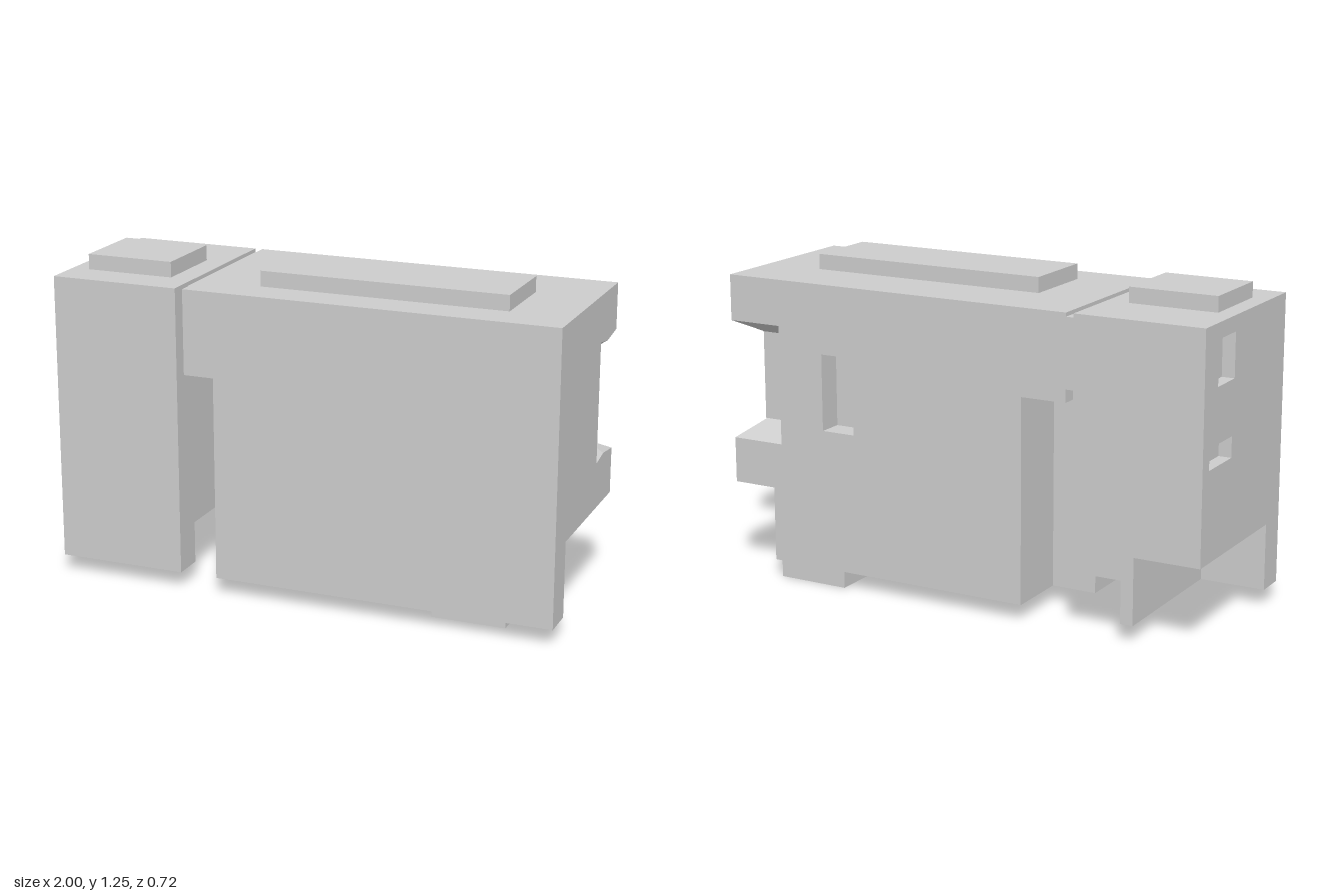
import * as THREE from 'three';

const material = new THREE.MeshStandardMaterial({ color: 0xcccccc, flatShading: true });
const thinMaterial = new THREE.MeshStandardMaterial({ color: 0xcccccc, flatShading: true, side: THREE.DoubleSide });
const BACK = -0.36, FRONT = 0.36;

// Box given by its minimum and maximum corners
function box(name, x0, x1, y0, y1, z0, z1) {
  const mesh = new THREE.Mesh(new THREE.BoxGeometry(x1 - x0, y1 - y0, z1 - z0), material);
  mesh.position.set((x0 + x1) / 2, (y0 + y1) / 2, (z0 + z1) / 2);
  mesh.name = name;
  return mesh;
}

// Block stacked from slabs; plan(y) gives the x,z outline at that height
function stack(name, levels, plan) {
  const group = new THREE.Group();
  group.name = name;
  for (let i = 0; i < levels.length - 1; i++) {
    const [y0, y1] = [levels[i], levels[i + 1]];
    const shape = new THREE.Shape(plan((y0 + y1) / 2).map(([x, z]) => new THREE.Vector2(x, -z)));
    const geo = new THREE.ExtrudeGeometry(shape, { depth: y1 - y0, bevelEnabled: false });
    geo.rotateX(-Math.PI / 2).translate(0, y0, 0);
    const mesh = new THREE.Mesh(geo, material);
    mesh.name = name + 'Slab';
    group.add(mesh);
  }
  return group;
}

// Large block: outline runs front left, front right, back right, back left
function mainPlan(y) {
  const p = [];
  const slotted = y < 0.86;
  if (slotted) p.push([-0.46, 0.1], [-0.34, 0.1], [-0.34, FRONT]);
  else p.push([-0.46, FRONT]);
  p.push([1, FRONT]);
  // right end: low cutout, or the stepped corner grip
  if (y < 0.36) p.push([1, 0.23], [0.82, 0.23], [0.82, BACK]);
  else if (y > 0.54 && y < 1.01) p.push([1, -0.15], [0.93, -0.15], [0.93, -0.24], [0.78, -0.24], [0.78, BACK]);
  else p.push([1, BACK]);
  // small window in the back
  if (y > 0.62 && y < 0.92) p.push([0.585, BACK], [0.585, -0.26], [0.445, -0.26], [0.445, BACK]);
  if (slotted) p.push([-0.28, BACK], [-0.28, -0.105], [-0.46, -0.105]);
  else p.push([-0.46, BACK]);
  return p;
}

// Small block with legs below and two recesses in its outer end
function sidePlan(y) {
  const p = [[-1, FRONT], [-0.49, FRONT]];
  if (y < 0.23) p.push([-0.49, 0.235], [-0.69, 0.235], [-0.69, BACK]);
  else p.push([-0.49, BACK]);
  if (y < 0.324) p.push([-0.74, BACK], [-0.74, 0.24], [-1, 0.24]);
  else p.push([-1, BACK]);
  const recess = (z0, z1) => p.push([-1, z0], [-0.95, z0], [-0.95, z1], [-1, z1]);
  if (y > 0.67 && y < 0.75) recess(-0.305, -0.11);
  if (y > 0.96 && y < 1.13) recess(-0.245, -0.1);
  return p;
}

// Sloping facets at the top of the corner grip; mirrored for the bottom
function gripSlope(mirror) {
  const pts = [
    [1, 1.01, -0.36], [0.78, 1.01, -0.36], [0.78, 0.95, -0.24], [0.93, 0.95, -0.24],
    [0.93, 0.965, -0.15], [1, 1.01, -0.15], [1, 0.995, -0.24],
  ];
  const faces = [0, 1, 2, 0, 2, 3, 0, 3, 6, 6, 3, 4, 6, 4, 5, 0, 6, 5];
  if (mirror) faces.reverse();
  const geo = new THREE.BufferGeometry();
  const flat = pts.flatMap(([x, y, z]) => [x, mirror ? 1.55 - y : y, z]);
  geo.setAttribute('position', new THREE.Float32BufferAttribute(flat, 3));
  geo.setIndex(faces);
  const split = geo.toNonIndexed();
  split.computeVertexNormals();
  const mesh = new THREE.Mesh(split, thinMaterial);
  mesh.name = mirror ? 'gripBottomSlope' : 'gripTopSlope';
  return mesh;
}

export function createModel() {
  const model = new THREE.Group();
  model.name = 'cabinet';
  model.add(
    stack('mainBlock', [0.065, 0.36, 0.54, 0.62, 0.86, 0.92, 1.01, 1.19], mainPlan),
    stack('sideBlock', [0.065, 0.23, 0.324, 0.67, 0.75, 0.96, 1.13, 1.19], sidePlan),
    gripSlope(false),
    gripSlope(true),
    // web joining the two blocks
    box('joiningWeb', -0.49, -0.46, 0.91, 1.175, BACK, 0.25),
    // raised pads and foot
    box('sideTopPad', -0.93, -0.58, 1.19, 1.25, -0.1, 0.21),
    box('mainTopPad', -0.21, 0.76, 1.19, 1.25, -0.1, 0.21),
    box('foot', 0.5, 0.79, 0, 0.065, BACK, 0.26),
  );
  return model;
}
